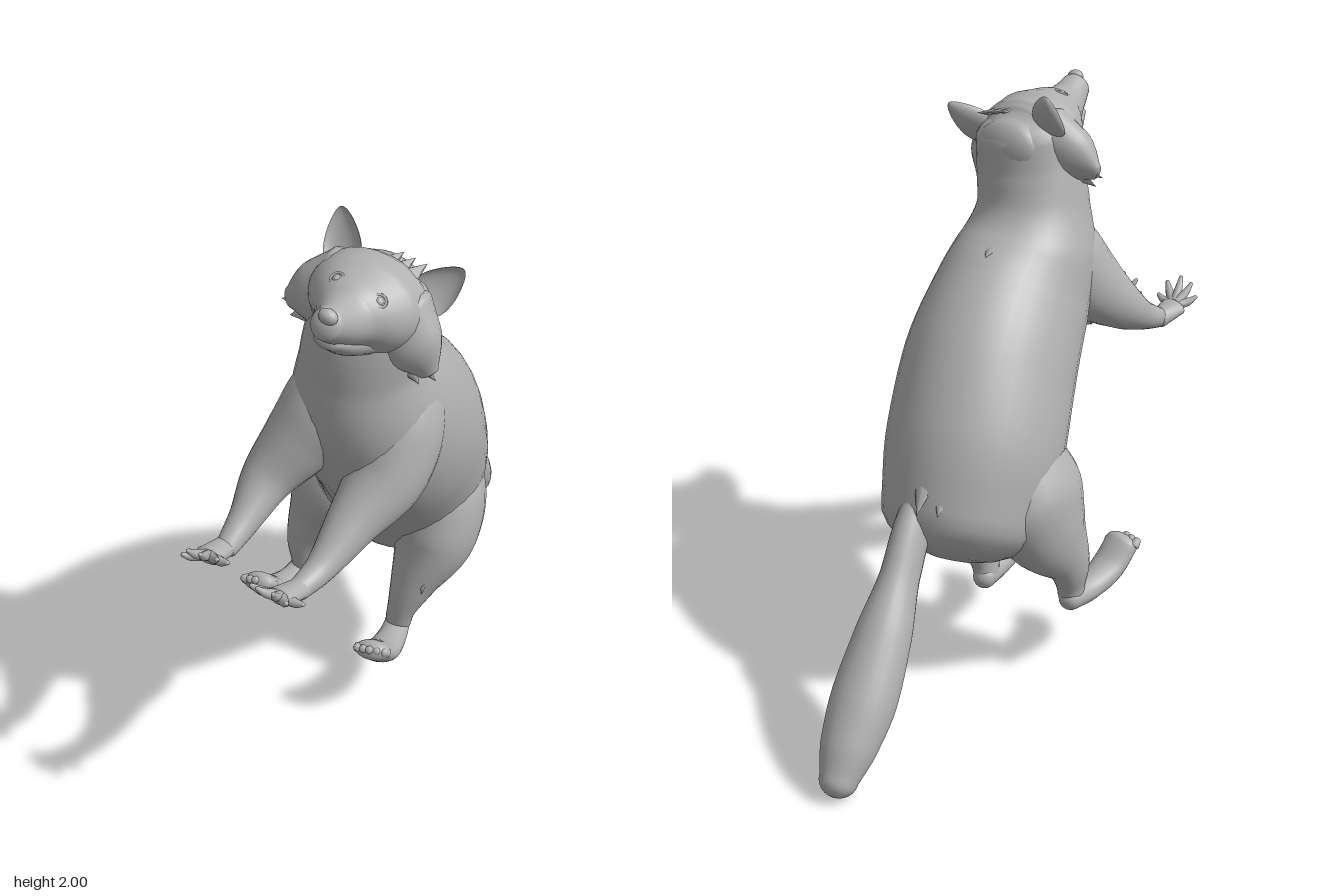
import * as THREE from 'three';

const fur = new THREE.MeshStandardMaterial({ color: 0xb0b0b0, side: THREE.DoubleSide });
fur.name = 'grey fur';
const V = (a) => new THREE.Vector3(a[0], a[1], a[2]);
const SIDEWAYS = [0.95, 0, 0.3]; // the animal's own left, as the body is turned

function add(parent, name, geometry) {
  const mesh = new THREE.Mesh(geometry, fur);
  mesh.name = name;
  parent.add(mesh);
  return mesh;
}

// Smooth tube with elliptical sections [x, y, z, halfWidth, halfDepth] and domed ends.
function loft(sections, { side = SIDEWAYS, sides = 24, steps = 6, dome = 0.6 } = {}) {
  const path = new THREE.CatmullRomCurve3(sections.map(V));
  const radii = new THREE.CatmullRomCurve3(sections.map((s) => new THREE.Vector3(s[3], s[4] ?? s[3], 0)));
  const n = (sections.length - 1) * steps, capRings = 6;
  const rings = [];
  for (let i = capRings; i > 0; i--) rings.push([0, -i / capRings]);
  for (let i = 0; i <= n; i++) rings.push([i / n, 0]);
  for (let i = 1; i <= capRings; i++) rings.push([1, i / capRings]);
  const pos = [], index = [];
  rings.forEach(([t, cap], i) => {
    const T = path.getTangent(t), D = T.clone().cross(V(side)).normalize();
    const W = D.clone().cross(T), r = radii.getPoint(t), a = cap * Math.PI / 2;
    const c = path.getPoint(t).addScaledVector(T, Math.sin(a) * dome * Math.min(r.x, r.y));
    for (let j = 0; j < sides; j++) {
      const b = j / sides * Math.PI * 2, k = Math.cos(a);
      const p = c.clone().addScaledVector(W, Math.cos(b) * r.x * k).addScaledVector(D, Math.sin(b) * r.y * k);
      pos.push(p.x, p.y, p.z);
      if (i) {
        const q = (i - 1) * sides, j2 = (j + 1) % sides;
        index.push(q + j, q + j2, q + sides + j2, q + j, q + sides + j2, q + sides + j);
      }
    }
  });
  const g = new THREE.BufferGeometry();
  g.setAttribute('position', new THREE.Float32BufferAttribute(pos, 3));
  g.setIndex(index);
  g.computeVertexNormals();
  return g;
}

// Flat pointed lock of fur from a root to a tip
function tuft(parent, name, root, tip, r) {
  const d = V(tip).sub(V(root)), len = d.length();
  const g = new THREE.ConeGeometry(r, len, 8).translate(0, len / 2, 0).scale(1, 1, 0.45);
  const m = add(parent, name, g);
  m.position.copy(V(root));
  m.quaternion.setFromUnitVectors(new THREE.Vector3(0, 1, 0), d.normalize());
}

// Palm with five slim fingers
function hand(parent, name, wrist, knuckles, tips) {
  const group = new THREE.Group();
  group.name = name;
  parent.add(group);
  add(group, 'palm', loft([[...wrist, 0.038, 0.034], [...knuckles, 0.05, 0.028]], { sides: 14 }));
  tips.forEach((tip) => {
    const root = V(knuckles).lerp(V(tip), 0.2), mid = V(knuckles).lerp(V(tip), 0.65);
    mid.y -= 0.006;
    add(group, 'finger', loft([[...root.toArray(), 0.018], [...mid.toArray(), 0.015], [...tip, 0.007]],
      { sides: 8, steps: 3 }));
  });
}

// Long flat foot with toes across its end
function foot(parent, name, sections) {
  const group = new THREE.Group();
  group.name = name;
  parent.add(group);
  add(group, 'sole', loft(sections, { sides: 16, dome: 0.9 }));
  const end = V(sections.at(-1)), dir = end.clone().sub(V(sections.at(-2))).normalize();
  for (let i = -2; i <= 2; i++) {
    const toe = end.clone().addScaledVector(V(SIDEWAYS), i * 0.024);
    const tip = toe.clone().addScaledVector(dir, 0.035 - Math.abs(i) * 0.007);
    add(group, 'toe', loft([[...toe.toArray(), 0.02], [...tip.toArray(), 0.014]], { sides: 8, steps: 2 }));
  }
}

function makeHead() {
  const head = new THREE.Group();
  head.name = 'head';
  const opt = { side: [1, 0, 0], sides: 28 };
  add(head, 'skull and muzzle', loft([
    [0, 0.03, -0.1, 0.13, 0.1], [0, 0.01, -0.055, 0.165, 0.135], [0, -0.005, 0, 0.19, 0.15],
    [0, -0.01, 0.08, 0.18, 0.143], [0, -0.015, 0.15, 0.138, 0.11], [0, -0.025, 0.21, 0.092, 0.083],
    [0, -0.024, 0.27, 0.066, 0.066], [0, -0.015, 0.335, 0.05, 0.052]], opt));
  add(head, 'lower jaw', loft([
    [0, -0.075, 0.06, 0.135, 0.085], [0, -0.092, 0.17, 0.085, 0.056], [0, -0.082, 0.28, 0.045, 0.026]], opt));
  add(head, 'nose', new THREE.SphereGeometry(0.028, 16, 12).scale(1.1, 0.85, 0.8)).position.set(0, 0.014, 0.355);

  for (const s of [-1, 1]) {
    add(head, 'eye', new THREE.SphereGeometry(0.017, 14, 10)).position.set(s * 0.07, 0.056, 0.172);
    add(head, 'eyelid', new THREE.TorusGeometry(0.02, 0.005, 6, 16).rotateX(-0.7).rotateY(s * 0.5))
      .position.set(s * 0.073, 0.062, 0.176);

    // Cupped ear, narrowing to its tip
    const ear = new THREE.SphereGeometry(1, 18, 14, Math.PI, Math.PI);
    const p = ear.attributes.position;
    for (let i = 0; i < p.count; i++) p.setX(i, p.getX(i) * (1 - 0.4 * p.getY(i)));
    ear.scale(0.064, 0.098, 0.035).computeVertexNormals();
    const earMesh = add(head, 'ear', ear);
    earMesh.position.set(s * 0.168, 0.105, -0.03);
    earMesh.rotation.set(-0.1, s * 0.25, -s * 0.5);

    // Cheek ruff: a broad wedge with ragged locks along its edge
    add(head, 'cheek ruff', loft([[s * 0.09, -0.03, 0.01, 0.1, 0.14], [s * 0.18, -0.085, 0, 0.075, 0.1],
      [s * 0.245, -0.135, -0.015, 0.022, 0.035]], { side: [0, 0, 1] }));
    for (const [y, tx, ty] of [[-0.06, 0.235, -0.09], [-0.1, 0.275, -0.155], [-0.13, 0.23, -0.19]])
      tuft(head, 'cheek tuft', [s * 0.15, y, -0.01], [s * tx, ty, -0.025], 0.05);
  }
  for (const x of [0, 0.04, 0.08])
    tuft(head, 'crown tuft', [x, 0.11, 0], [x + 0.02, 0.15, -0.06], 0.03);

  // Head looks up and to its right, tilted
  const X = V([0.84, -0.24, 0.48]).normalize();
  const Y = V([-0.443, 0.332, 0.831]).cross(X).normalize();
  head.quaternion.setFromRotationMatrix(new THREE.Matrix4().makeBasis(X, Y, X.clone().cross(Y)));
  head.position.set(0.04, 1.8, 0.42);
  return head;
}

export function createModel() {
  const model = new THREE.Group();
  model.name = 'standing furry animal';

  add(model, 'body', loft([
    [0.18, 0.67, -0.185, 0.28, 0.285], [0.15, 0.88, -0.07, 0.305, 0.32], [0.12, 1.09, 0.09, 0.295, 0.335],
    [0.065, 1.28, 0.26, 0.265, 0.315], [0.02, 1.44, 0.35, 0.235, 0.26], [0.01, 1.58, 0.39, 0.195, 0.2],
    [0.025, 1.7, 0.405, 0.185, 0.175], [0.045, 1.82, 0.4, 0.17, 0.145]], { sides: 36 }));
  model.add(makeHead());

  add(model, 'tail', loft([
    [0.26, 0.86, -0.22, 0.05, 0.07], [0.315, 0.72, -0.37, 0.06, 0.08], [0.345, 0.585, -0.48, 0.065, 0.08],
    [0.38, 0.44, -0.6, 0.095, 0.096], [0.425, 0.27, -0.735, 0.112, 0.106], [0.462, 0.145, -0.845, 0.095, 0.09],
    [0.482, 0.07, -0.91, 0.066, 0.064]], { dome: 0.95 }));

  // Arms, reaching forward to the animal's right
  add(model, 'left arm', loft([
    [0.05, 1.5, 0.31, 0.13, 0.15], [0.11, 1.35, 0.39, 0.16, 0.17], [0.085, 1.2, 0.49, 0.135, 0.145],
    [-0.03, 1.09, 0.62, 0.085, 0.085], [-0.13, 1.01, 0.74, 0.05, 0.048], [-0.2, 0.99, 0.82, 0.036, 0.034]]));
  hand(model, 'left hand', [-0.19, 0.99, 0.81], [-0.25, 1.02, 0.88], [[-0.34, 1.05, 0.86],
    [-0.32, 1.08, 0.91], [-0.27, 1.09, 0.95], [-0.23, 1.07, 0.97], [-0.18, 1.03, 0.93]]);
  add(model, 'right arm', loft([
    [-0.01, 1.51, 0.33, 0.13, 0.15], [-0.09, 1.39, 0.38, 0.145, 0.155], [-0.19, 1.27, 0.42, 0.12, 0.13],
    [-0.29, 1.17, 0.48, 0.087, 0.087], [-0.36, 1.09, 0.58, 0.055, 0.055], [-0.42, 1.04, 0.67, 0.037, 0.036]]));
  hand(model, 'right hand', [-0.42, 1.04, 0.66], [-0.47, 1.06, 0.73], [[-0.55, 1.09, 0.76],
    [-0.53, 1.13, 0.79], [-0.49, 1.14, 0.82], [-0.44, 1.12, 0.82], [-0.41, 1.08, 0.79]]);

  // Legs
  add(model, 'left leg', loft([
    [0.21, 0.87, -0.08, 0.15, 0.19], [0.27, 0.71, -0.03, 0.18, 0.23], [0.27, 0.57, 0.045, 0.15, 0.18],
    [0.2, 0.42, 0.11, 0.085, 0.1], [0.155, 0.3, 0.13, 0.05, 0.065], [0.145, 0.24, 0.125, 0.045, 0.055]]));
  foot(model, 'left foot', [[0.15, 0.235, 0.1, 0.042, 0.045], [0.12, 0.23, 0.2, 0.052, 0.044],
    [0.08, 0.26, 0.3, 0.062, 0.04], [0.045, 0.325, 0.37, 0.062, 0.036]]);
  add(model, 'right leg', loft([
    [0.05, 0.88, -0.1, 0.17, 0.19], [-0.03, 0.72, -0.12, 0.19, 0.22], [-0.105, 0.58, -0.13, 0.14, 0.165],
    [-0.175, 0.45, -0.11, 0.075, 0.09], [-0.185, 0.36, -0.1, 0.05, 0.06], [-0.185, 0.32, -0.1, 0.045, 0.05]]));
  foot(model, 'right foot', [[-0.185, 0.31, -0.12, 0.042, 0.042], [-0.24, 0.305, -0.03, 0.052, 0.044],
    [-0.3, 0.345, 0.05, 0.062, 0.04], [-0.345, 0.415, 0.105, 0.062, 0.036]]);

  // Loose locks on the back, rump, elbows and knees
  for (const [root, tip, r] of [
    [[0.1, 1.53, 0.17], [0.13, 1.51, 0.05], 0.05], [[0.14, 1.46, 0.1], [0.17, 1.43, -0.02], 0.05],
    [[0.27, 0.9, -0.34], [0.29, 0.8, -0.45], 0.05], [[0.21, 0.88, -0.35], [0.22, 0.8, -0.45], 0.05],
    [[0.06, 1.1, 0.53], [0.04, 1.01, 0.57], 0.05], [[-0.21, 1.2, 0.42], [-0.19, 1.1, 0.44], 0.05],
    [[0.24, 0.55, 0.15], [0.22, 0.44, 0.215], 0.05], [[-0.19, 0.62, -0.1], [-0.24, 0.53, -0.09], 0.04]])
    tuft(model, 'fur lock', root, tip, r);

  return model;
}
